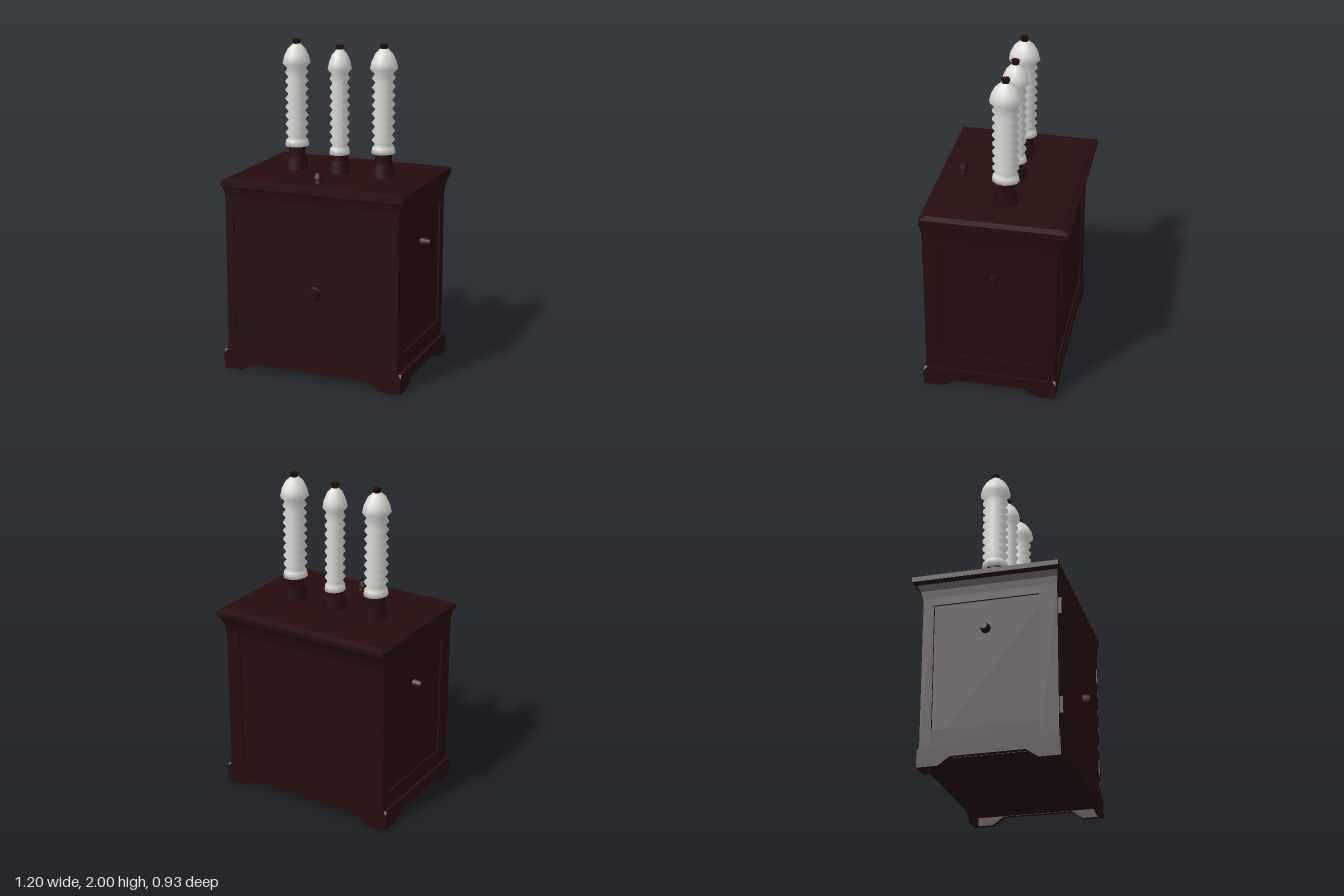
import * as THREE from 'three';

const iron = new THREE.MeshStandardMaterial({ color: 0x260d0e });
iron.name = 'dark brown paint';
const porcelain = new THREE.MeshStandardMaterial({ color: 0xd9d9d6 });
porcelain.name = 'white porcelain';

export function createModel() {
  const group = new THREE.Group();

  function add(name, geo, mat = iron, x = 0, y = 0, z = 0) {
    const mesh = new THREE.Mesh(geo, mat);
    mesh.name = name;
    mesh.position.set(x, y, z);
    group.add(mesh);
    return mesh;
  }

  // box given by its limits
  function block(name, x0, x1, y0, y1, z0, z1) {
    return add(name, new THREE.BoxGeometry(x1 - x0, y1 - y0, z1 - z0), iron,
      (x0 + x1) / 2, (y0 + y1) / 2, (z0 + z1) / 2);
  }

  // stack of rectangles [y, x0, x1, z0, z1], closed at both ends
  function loft(rings) {
    const pos = [];
    const corners = ([y, x0, x1, z0, z1]) => [[x0, y, z1], [x1, y, z1], [x1, y, z0], [x0, y, z0]];
    const quad = (a, b, c, d) => pos.push(...a, ...b, ...c, ...a, ...c, ...d);
    for (let i = 0; i + 1 < rings.length; i++) {
      const lo = corners(rings[i]), hi = corners(rings[i + 1]);
      for (let k = 0; k < 4; k++) {
        const n = (k + 1) % 4;
        quad(lo[k], lo[n], hi[n], hi[k]);
      }
    }
    const b = corners(rings[0]), t = corners(rings[rings.length - 1]);
    quad(b[3], b[2], b[1], b[0]);
    quad(t[0], t[1], t[2], t[3]);
    const geo = new THREE.BufferGeometry();
    geo.setAttribute('position', new THREE.Float32BufferAttribute(pos, 3));
    geo.computeVertexNormals();
    return geo;
  }

  // tank and flared lid
  add('tank', loft([
    [0.05, -0.55, 0.538, -0.385, 0.405],
    [1.06, -0.55, 0.538, -0.385, 0.405]
  ]));
  add('lid', loft([
    [1.04, -0.56, 0.55, -0.397, 0.406],
    [1.10, -0.563, 0.557, -0.415, 0.408],
    [1.14, -0.57, 0.567, -0.44, 0.412],
    [1.16, -0.588, 0.573, -0.463, 0.418],
    [1.19, -0.588, 0.575, -0.464, 0.418],
    [1.203, -0.55, 0.54, -0.42, 0.38]
  ]));

  // raised frames leave a sunken panel on the sides and back
  for (const [x0, x1] of [[-0.562, -0.55], [0.538, 0.55]]) {
    block('sideStile', x0, x1, 0.1, 1.05, 0.3, 0.406);
    block('sideStile', x0, x1, 0.1, 1.05, -0.397, -0.33);
    block('sideRail', x0, x1, 0.1, 0.22, -0.33, 0.3);
    block('sideRail', x0, x1, 1.0, 1.05, -0.33, 0.3);
  }
  for (const [x0, x1] of [[-0.56, -0.47], [0.46, 0.548]])
    block('backStile', x0, x1, 0.1, 1.05, -0.397, -0.385);
  block('backRail', -0.47, 0.46, 0.1, 0.18, -0.397, -0.385);

  // slanted crease on the back panel
  const crease = new THREE.Shape([[0.4, 1.02], [0.22, 0.2], [0.1, 0.19], [0.2, 0.5]]
    .map(p => new THREE.Vector2(...p)));
  add('backCrease', new THREE.ExtrudeGeometry(crease, { depth: 0.008, bevelEnabled: false }),
    iron, 0, 0, -0.392);

  // plinth boards with bracket feet
  function plinth(name, half, x, z, turn) {
    const foot = 0.125, rise = 0.07;
    const shape = new THREE.Shape([
      [-half, 0], [-half + foot, 0], [-half + foot + rise, 0.05],
      [half - foot - rise, 0.05], [half - foot, 0], [half, 0],
      [half, 0.1], [half - 0.02, 0.12], [-half + 0.02, 0.12], [-half, 0.1]
    ].map(p => new THREE.Vector2(...p)));
    const geo = new THREE.ExtrudeGeometry(shape, { depth: 0.03, bevelEnabled: false });
    add(name, geo, iron, x, 0, z).rotation.y = turn;
  }
  plinth('frontPlinth', 0.58, -0.005, 0.388, 0);
  plinth('backPlinth', 0.58, -0.005, -0.374, Math.PI);
  plinth('leftPlinth', 0.411, 0.545, 0.007, Math.PI / 2);
  plinth('rightPlinth', 0.411, -0.555, 0.007, -Math.PI / 2);

  // front knob, hinges and lid knob
  const stem = add('frontKnobStem', new THREE.CylinderGeometry(0.025, 0.05, 0.04, 8), iron, 0.02, 0.55, 0.42);
  stem.rotation.x = Math.PI / 2;
  const knob = add('frontKnob', new THREE.CylinderGeometry(0.035, 0.045, 0.04, 7), iron, 0.02, 0.55, 0.447);
  knob.rotation.x = Math.PI / 2;
  for (const y of [0.92, 0.31]) {
    block('hinge', -0.54, -0.505, y - 0.05, y + 0.05, 0.4, 0.425);
    block('latchStrip', 0.52, 0.54, y - 0.05, y + 0.05, 0.4, 0.412);
  }
  add('lidKnobStem', new THREE.CylinderGeometry(0.018, 0.03, 0.05, 8), iron, -0.005, 1.22, 0.28);
  add('lidKnob', new THREE.CylinderGeometry(0.02, 0.032, 0.03, 7), iron, -0.005, 1.25, 0.28);

  // lifting lugs on the sides
  for (const [x, s] of [[-0.572, -1], [0.567, 1]]) {
    const lug = add('sideLug', new THREE.CylinderGeometry(0.022, 0.032, 0.06, 8), iron, x, 0.82, -0.02);
    lug.rotation.z = -s * Math.PI / 2;
  }

  // ribbed insulators: base, neck, porcelain and terminal
  function insulator(x, size, bottom, top) {
    const v = (r, y) => new THREE.Vector2(r, y);
    const profile = [v(0.04, bottom), v(0.072, bottom + 0.005), v(0.066, bottom + 0.04)];
    const ribs = 8, start = bottom + 0.06, step = (top - 0.15 - start) / ribs;
    for (let i = 0; i < ribs; i++) {
      profile.push(v(0.05, start + i * step), v(0.07, start + (i + 0.5) * step));
    }
    profile.push(v(0.055, top - 0.15), v(0.083, top - 0.12), v(0.073, top - 0.075),
      v(0.052, top - 0.03), v(0.022, top));
    const body = add('insulator', new THREE.LatheGeometry(profile, 12), porcelain, x, 0, -0.04);
    body.scale.set(size, 1, size * 1.16);
    add('insulatorBase', new THREE.CylinderGeometry(0.064, 0.075, 0.09, 8), iron, x, 1.235, -0.04);
    add('insulatorNeck', new THREE.CylinderGeometry(0.055, 0.055, bottom - 1.26, 8), iron,
      x, (bottom + 1.28) / 2, -0.04);
    add('terminal', new THREE.CylinderGeometry(0.026, 0.018, 0.035, 6), iron, x, top + 0.008, -0.04);
  }
  insulator(-0.29, 1, 1.34, 1.975);
  insulator(-0.005, 0.86, 1.31, 1.955);
  insulator(0.28, 1, 1.34, 1.975);

  return group;
}
